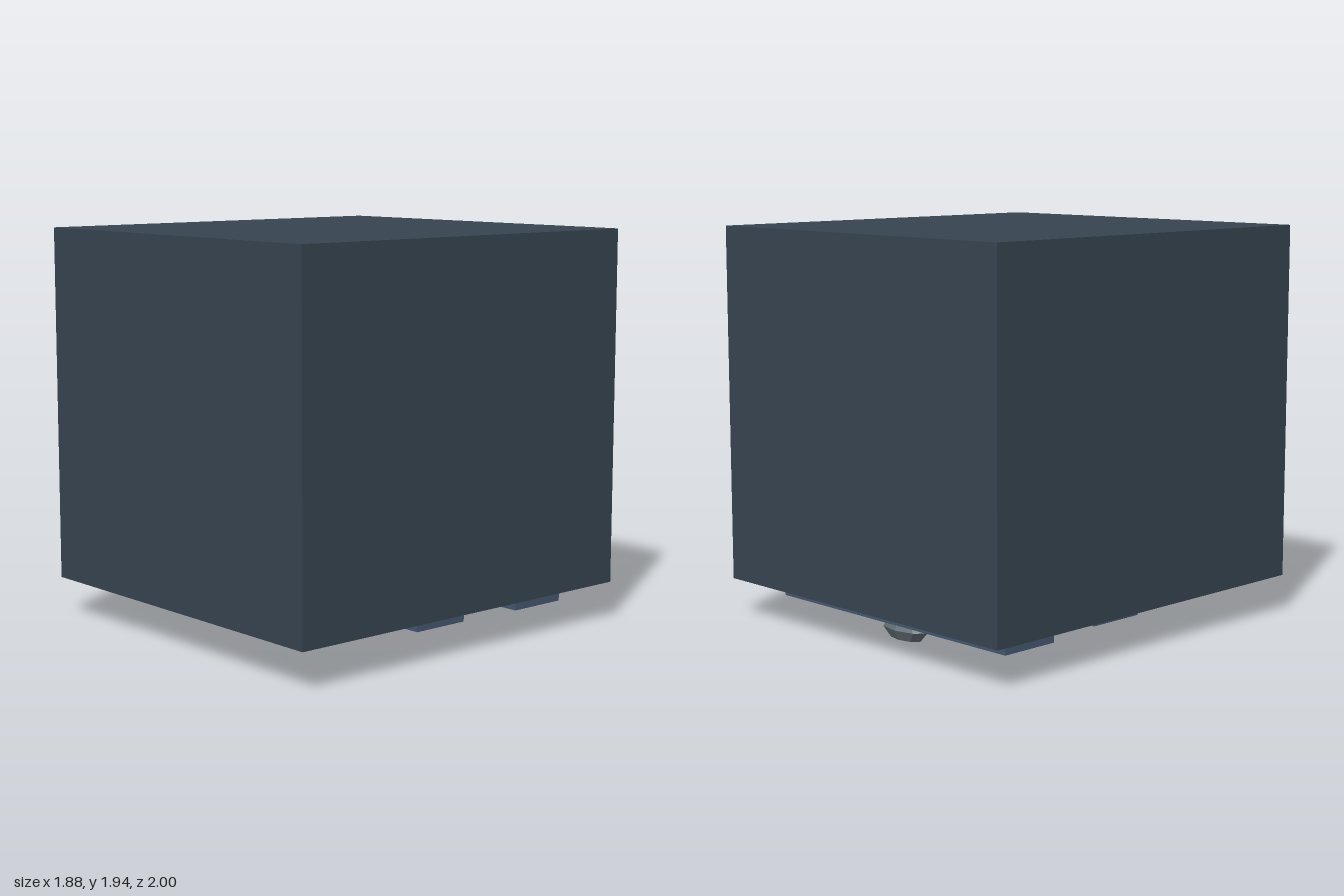
import * as THREE from 'three';

const mat = (color) => new THREE.MeshStandardMaterial({ color, flatShading: true });

function add(parent, name, geometry, material, x = 0, y = 0, z = 0) {
  const mesh = new THREE.Mesh(geometry, material);
  mesh.name = name;
  mesh.position.set(x, y, z);
  parent.add(mesh);
  return mesh;
}

// Box without its underside; inward turns it into a lining seen from inside
function openBox(w, h, d, inward = false) {
  const g = new THREE.BoxGeometry(w, h, d);
  const index = Array.from(g.index.array).filter((_, i) => i < 18 || i >= 24);
  if (inward) {
    index.reverse();
    const n = g.attributes.normal;
    for (let i = 0; i < n.count; i++) n.setXYZ(i, -n.getX(i), -n.getY(i), -n.getZ(i));
  }
  g.setIndex(index);
  g.clearGroups();
  return g;
}

export function createModel() {
  const model = new THREE.Group();
  model.name = 'cabinet';
  const bodyMat = mat(0x36434f);
  const drawerMat = mat(0x43566d);
  const knobMat = mat(0x5f6a72);

  const W = 0.94, D = 1, base = 0.19, top = 1.94;
  const slot = { x0: -0.72, x1: 0.745, z0: 0.44, z1: 0.75, depth: 0.17 };

  // Cabinet shell
  const h = top - base;
  add(model, 'cabinetBody', openBox(2 * W, h, 2 * D), bodyMat, 0, base + h / 2, 0);

  // Underside panel with the slot cut out
  const panel = new THREE.Shape([
    new THREE.Vector2(-W, -D), new THREE.Vector2(W, -D),
    new THREE.Vector2(W, D), new THREE.Vector2(-W, D),
  ]);
  panel.holes.push(new THREE.Path([
    new THREE.Vector2(slot.x0, slot.z0), new THREE.Vector2(slot.x0, slot.z1),
    new THREE.Vector2(slot.x1, slot.z1), new THREE.Vector2(slot.x1, slot.z0),
  ]));
  add(model, 'undersidePanel', new THREE.ShapeGeometry(panel).rotateX(Math.PI / 2), bodyMat, 0, base, 0);

  // Empty slot
  add(model, 'slotLining',
    openBox(slot.x1 - slot.x0, slot.depth, slot.z1 - slot.z0, true), bodyMat,
    (slot.x0 + slot.x1) / 2, base + slot.depth / 2, (slot.z0 + slot.z1) / 2);

  // Raised drawer fronts, each with a faceted oval knob
  const profile = [[0, 0], [0.1, 0], [0.15, 0.05], [0.09, 0.1], [0.09, 0.12]]
    .map(([r, y]) => new THREE.Vector2(r, y));
  const drawers = [
    { name: 'backDrawer', x0: -0.785, x1: 0.78, z0: -0.8, z1: -0.49, knobY: 0, knobZ: -0.675 },
    { name: 'middleDrawer', x0: -0.72, x1: 0.765, z0: -0.15, z1: 0.155, knobY: 0.05, knobZ: 0.035 },
  ];
  for (const d of drawers) {
    const group = new THREE.Group();
    group.name = d.name;
    model.add(group);
    const low = 0.097, high = base + 0.01;
    add(group, 'drawerFront',
      new THREE.BoxGeometry(d.x1 - d.x0, high - low, d.z1 - d.z0), drawerMat,
      (d.x0 + d.x1) / 2, (low + high) / 2, (d.z0 + d.z1) / 2);
    const knob = add(group, 'knob', new THREE.LatheGeometry(profile, 8), knobMat, 0.015, d.knobY, d.knobZ);
    knob.scale.z = 0.5;
  }
  return model;
}
